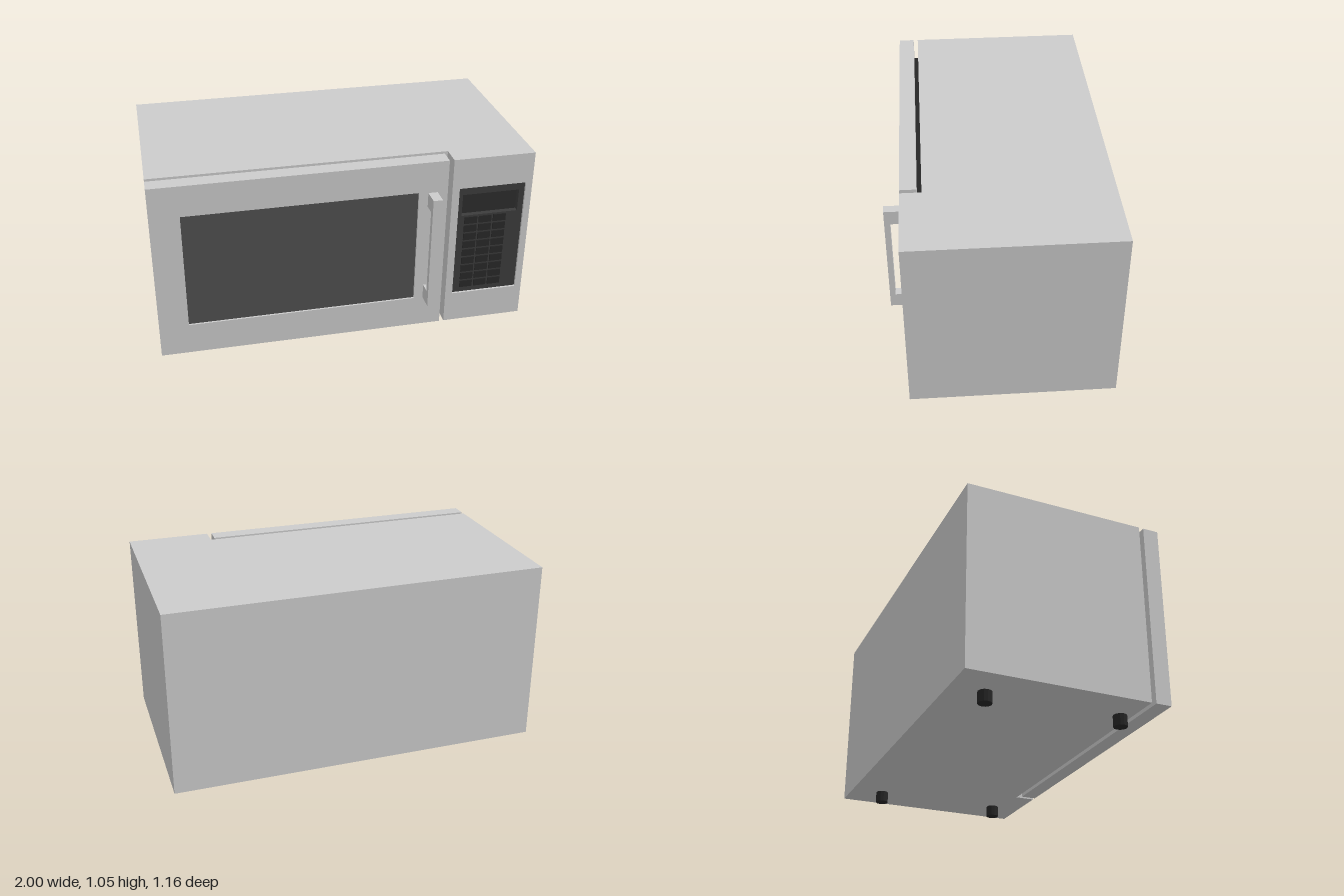
import * as THREE from 'three';

const mat = (color) => new THREE.MeshStandardMaterial({ color });
const steel = mat(0xcccccc), glass = mat(0x505050), panelDark = mat(0x3c3c3c);
const displayDark = mat(0x2c2c2c), keyDark = mat(0x282828), rubber = mat(0x262626);

const BOTTOM = 0.06, TOP = 1.055, BACK = -0.58, SEAM = 0.38, FRONT = 0.49;

function add(parent, name, geometry, material) {
  const mesh = new THREE.Mesh(geometry, material);
  mesh.name = name;
  parent.add(mesh);
  return mesh;
}

// Box given by its limits on each axis
function box(parent, name, material, [x0, x1], [y0, y1], [z0, z1]) {
  const mesh = add(parent, name, new THREE.BoxGeometry(x1 - x0, y1 - y0, z1 - z0), material);
  mesh.position.set((x0 + x1) / 2, (y0 + y1) / 2, (z0 + z1) / 2);
  return mesh;
}

function trace(path, [x0, x1], [y0, y1]) {
  path.moveTo(x0, y0);
  path.lineTo(x1, y0);
  path.lineTo(x1, y1);
  path.lineTo(x0, y1);
  path.closePath();
  return path;
}

// Rectangular slab with a rectangular opening
function frame(parent, name, material, x, y, [z0, z1], holeX, holeY) {
  const shape = trace(new THREE.Shape(), x, y);
  shape.holes.push(trace(new THREE.Path(), holeX, holeY));
  const geometry = new THREE.ExtrudeGeometry(shape, { depth: z1 - z0, bevelEnabled: false });
  geometry.translate(0, 0, z0);
  return add(parent, name, geometry, material);
}

export function createModel() {
  const model = new THREE.Group();
  model.name = 'microwaveOven';
  const group = (name) => {
    const g = new THREE.Group();
    g.name = name;
    model.add(g);
    return g;
  };
  const opening = [0.235, 0.885];

  // Cabinet with the forward column that holds the controls
  const cabinet = group('cabinet');
  box(cabinet, 'cabinetBody', steel, [-1, 1], [BOTTOM, TOP], [BACK, SEAM]);
  frame(cabinet, 'controlColumn', steel, [0.56, 1], [BOTTOM, TOP], [SEAM, FRONT], [0.6, 0.965], opening);

  // Door: frame, recessed window and the seal behind it
  const door = group('door');
  frame(door, 'doorFrame', steel, [-1, 0.535], [BOTTOM, TOP], [0.405, FRONT], [-0.845, 0.38], opening);
  box(door, 'doorWindow', glass, [-0.845, 0.38], opening, [0.406, 0.48]);
  box(door, 'doorSeal', rubber, [-0.92, 0.46], [0.14, 0.975], [SEAM, 0.405]);

  // Handle: upright grip on two posts
  const handle = group('handle');
  const handleX = [0.43, 0.48];
  box(handle, 'handleGrip', steel, handleX, [0.235, 0.88], [0.55, 0.58]);
  for (const y of [0.235, 0.8]) {
    box(handle, 'handlePost', steel, handleX, [y, y + 0.08], [FRONT, 0.55]);
  }

  // Control panel with a sunken display
  const controls = group('controls');
  const displayX = [0.625, 0.935], displayY = [0.715, 0.84];
  frame(controls, 'controlPanel', panelDark, [0.6, 0.965], opening, [0.4, 0.478], displayX, displayY);
  box(controls, 'display', displayDark, displayX, displayY, [0.4, 0.45]);

  // Keypad, three columns by nine rows
  for (let row = 0; row < 9; row++) {
    for (let col = 0; col < 3; col++) {
      const x = 0.677 + col * 0.08, y = 0.686 - row * 0.05;
      box(controls, 'key', keyDark, [x - 0.035, x + 0.035], [y - 0.02, y + 0.02], [0.477, 0.484]);
    }
  }

  // Four short feet
  const feet = group('feet');
  const footGeometry = new THREE.CylinderGeometry(0.036, 0.036, BOTTOM, 12);
  const footMaterial = rubber.clone();
  footMaterial.flatShading = true;
  for (const x of [-0.8, 0.8]) {
    for (const z of [-0.4, 0.32]) {
      add(feet, 'foot', footGeometry, footMaterial).position.set(x, BOTTOM / 2, z);
    }
  }
  return model;
}
